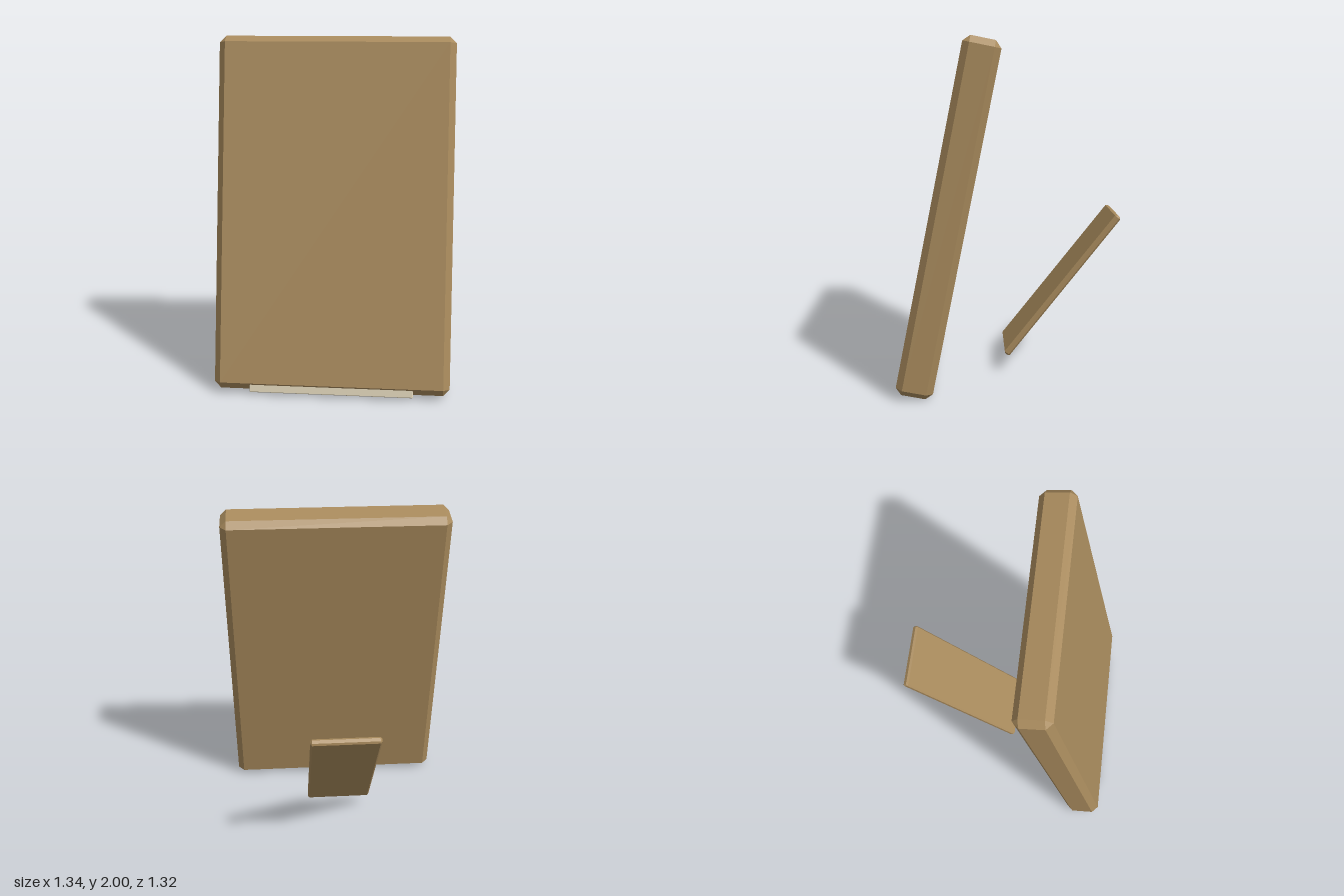
import * as THREE from 'three';
import { ConvexGeometry } from 'three/addons/geometries/ConvexGeometry.js';

// Box with one flat chamfer on every edge and a triangle at every corner
function chamferedBox(w, h, d, c) {
  const points = [];
  for (const sx of [-1, 1]) for (const sy of [-1, 1]) for (const sz of [-1, 1]) {
    const x = w / 2, y = h / 2, z = d / 2;
    points.push(
      new THREE.Vector3(sx * x, sy * (y - c), sz * (z - c)),
      new THREE.Vector3(sx * (x - c), sy * y, sz * (z - c)),
      new THREE.Vector3(sx * (x - c), sy * (y - c), sz * z)
    );
  }
  return new ConvexGeometry(points);
}

function part(name, geometry, material, x, y, z) {
  const mesh = new THREE.Mesh(geometry, material);
  mesh.name = name;
  mesh.position.set(x, y, z);
  return mesh;
}

export function createModel() {
  const model = new THREE.Group();
  model.name = 'standingFrame';

  const wood = new THREE.MeshStandardMaterial({ color: 0xa98b5d });
  wood.name = 'tan wood';
  const cream = new THREE.MeshStandardMaterial({ color: 0xddd2b8 });
  cream.name = 'cream';

  // Thick board leaning back, with the pale strip under its front edge
  const leaningBoard = new THREE.Group();
  leaningBoard.name = 'leaningBoard';
  leaningBoard.position.set(0, 1, 0.36);
  leaningBoard.rotation.x = -0.2;
  leaningBoard.add(
    part('board', chamferedBox(1.34, 2.013, 0.21, 0.037), wood, 0, 0, 0),
    part('bottomStrip', chamferedBox(0.93, 0.048, 0.048, 0.004), cream, 0, -0.996, 0.073)
  );
  model.add(leaningBoard);

  // Thin support leg behind the board
  const leg = part('supportLeg', chamferedBox(0.4, 1.08, 0.04, 0.01), wood, 0, 0.526, -0.314);
  leg.rotation.x = -0.67;
  model.add(leg);

  return model;
}
